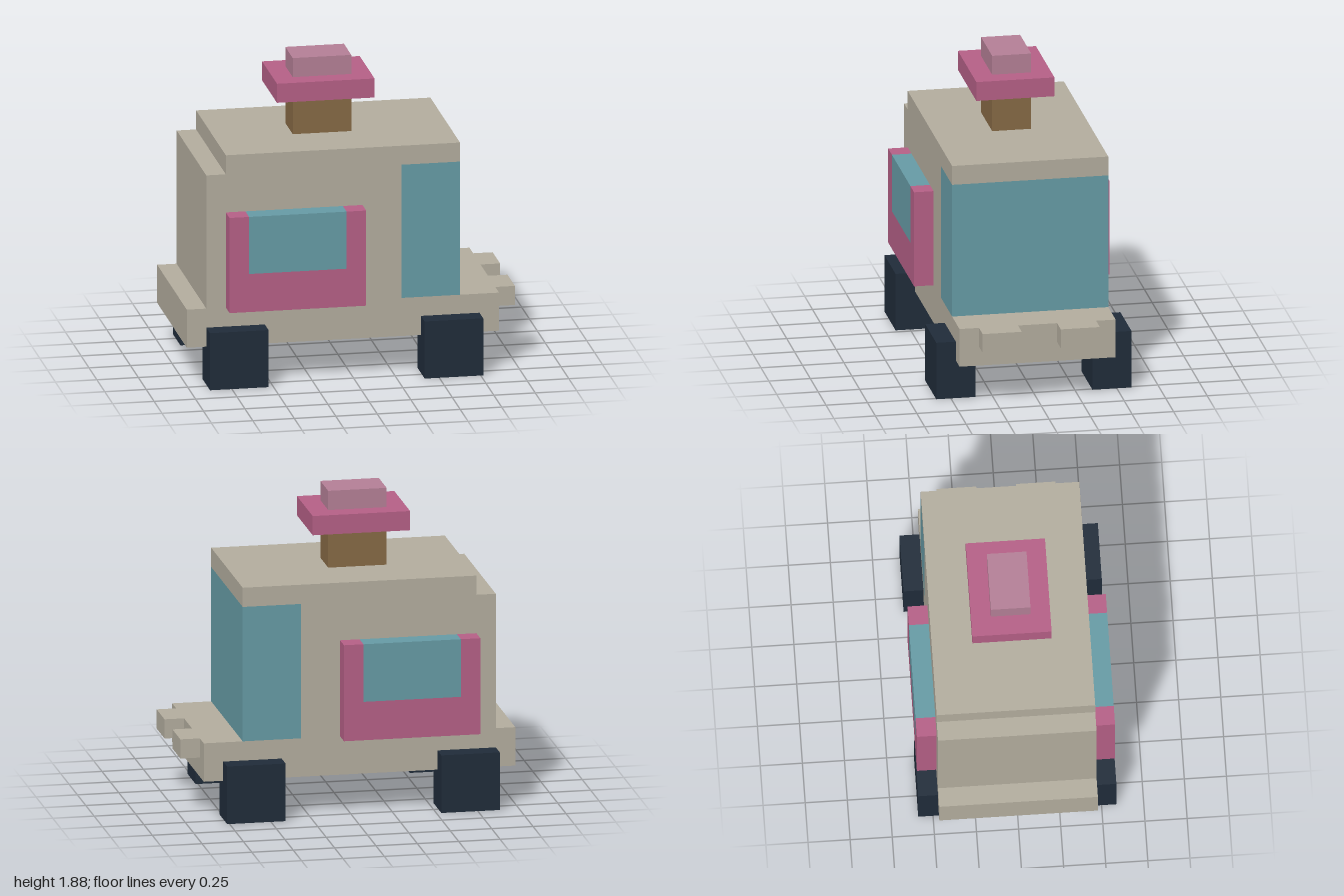
import * as THREE from 'three';

const U = 2 / 17; // one block; 17 blocks make the full length

const material = (name, color) => {
  const m = new THREE.MeshStandardMaterial({ color });
  m.name = name;
  return m;
};

export function createModel() {
  const model = new THREE.Group();
  model.name = 'blockVan';

  const tan = material('tan body', 0xb4ae9f);
  const teal = material('teal glass', 0x679ca6);
  const pink = material('pink trim', 0xb66087);
  const palePink = material('pale pink', 0xb58097);
  const brown = material('brown post', 0x876a45);
  const navy = material('navy tyre', 0x202c3a);

  // Box from block ranges: x counts from the rear, y from the ground, z from the centre
  const block = (name, mat, [x0, x1], [y0, y1], [z0, z1], parent = model) => {
    const geometry = new THREE.BoxGeometry((x1 - x0) * U, (y1 - y0) * U, (z1 - z0) * U);
    const mesh = new THREE.Mesh(geometry, mat);
    mesh.position.set(((x0 + x1) / 2) * U - 1, ((y0 + y1) / 2) * U, ((z0 + z1) / 2) * U);
    mesh.name = name;
    parent.add(mesh);
  };

  // Body
  block('chassis', tan, [0, 16], [2, 4], [-4, 4]);
  block('cargoBody', tan, [1, 11], [4, 11], [-4, 4]);
  block('cabGlass', teal, [11, 14], [4, 11], [-4, 4]);
  block('roof', tan, [2, 14], [11, 12], [-4, 4]);

  // Rooftop ornament
  block('ornamentPost', brown, [6, 9], [12, 14], [-1, 1]);
  block('ornamentBrim', pink, [5, 10], [14, 15], [-2, 2]);
  block('ornamentCap', palePink, [6, 9], [15, 16], [-1, 1]);

  // Parts repeated on both sides
  for (const [side, s] of [['left', 1], ['right', -1]]) {
    const span = (a, b) => (s > 0 ? [a, b] : [-b, -a]);

    block(side + 'HeadLamp', tan, [16, 17], [3, 4], span(1, 3));
    block(side + 'RearWheel', navy, [1, 4], [0, 3], span(3, 5));
    block(side + 'FrontWheel', navy, [12, 15], [0, 3], span(3, 5));

    // Serving hatch: sill, two posts and the pane between them
    const hatch = new THREE.Group();
    hatch.name = side + 'Hatch';
    model.add(hatch);
    block('hatchSill', pink, [2, 9], [4, 6], span(4, 5), hatch);
    block('hatchRearPost', pink, [2, 3], [6, 9], span(4, 5), hatch);
    block('hatchFrontPost', pink, [8, 9], [6, 9], span(4, 5), hatch);
    block('hatchPane', teal, [3, 8], [6, 9], span(4, 5), hatch);
  }

  return model;
}
